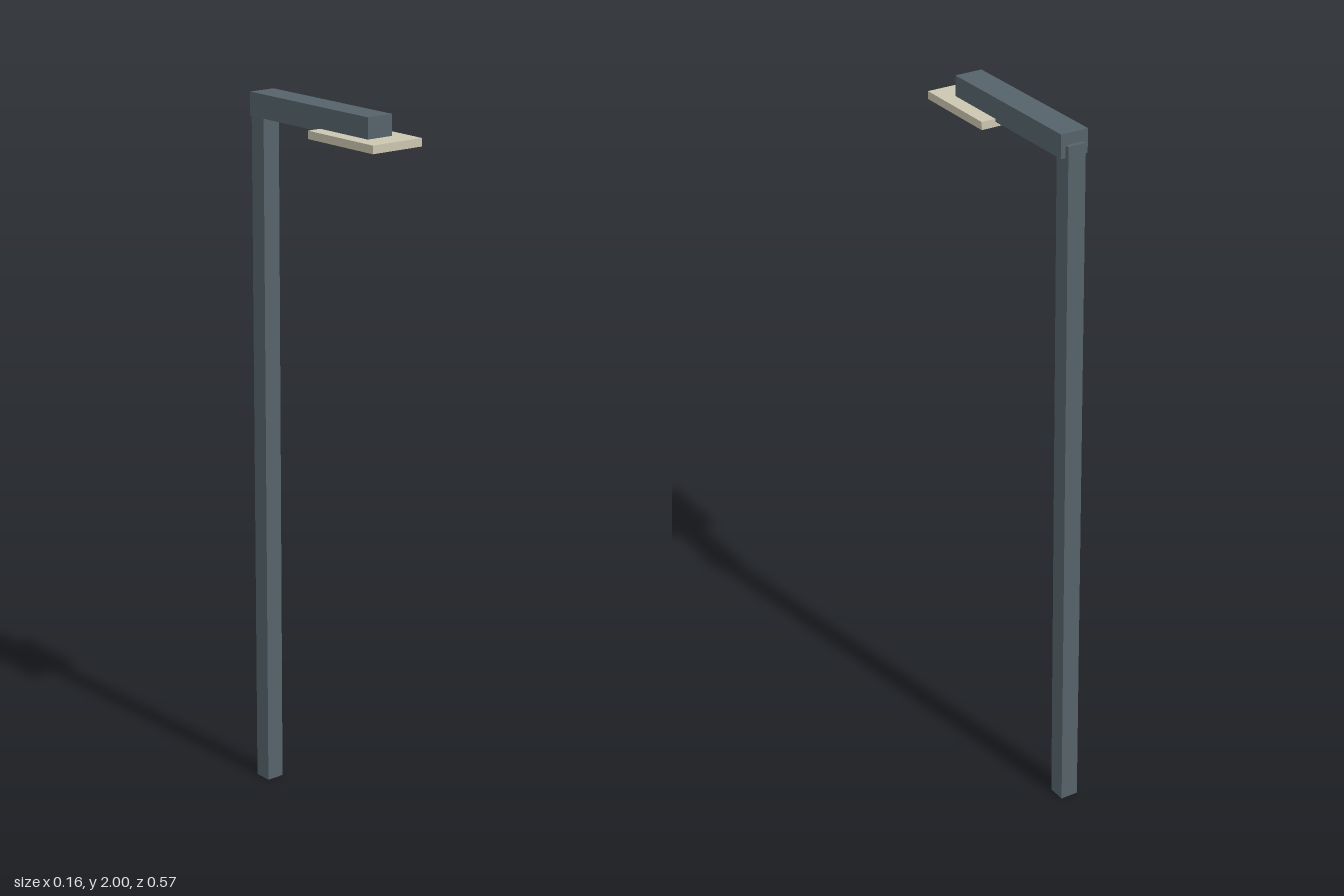
import * as THREE from 'three';

export function createModel() {
  const group = new THREE.Group();
  const steel = new THREE.MeshStandardMaterial({ color: 0x56636a });
  steel.name = 'slate steel';
  const lens = new THREE.MeshStandardMaterial({ color: 0xcbc6b0 });
  lens.name = 'pale lamp';

  // Box given by its width and its y and z ranges, centred on x = 0
  const addBox = (name, material, width, [y0, y1], [z0, z1]) => {
    const mesh = new THREE.Mesh(new THREE.BoxGeometry(width, y1 - y0, z1 - z0), material);
    mesh.position.set(0, (y0 + y1) / 2, (z0 + z1) / 2);
    mesh.name = name;
    group.add(mesh);
  };

  addBox('pole', steel, 0.052, [0, 1.968], [-0.287, -0.235]);
  addBox('arm', steel, 0.08, [1.935, 2], [-0.275, 0.216]);
  addBox('lampPanel', lens, 0.163, [1.921, 1.943], [0.024, 0.286]);

  return group;
}
